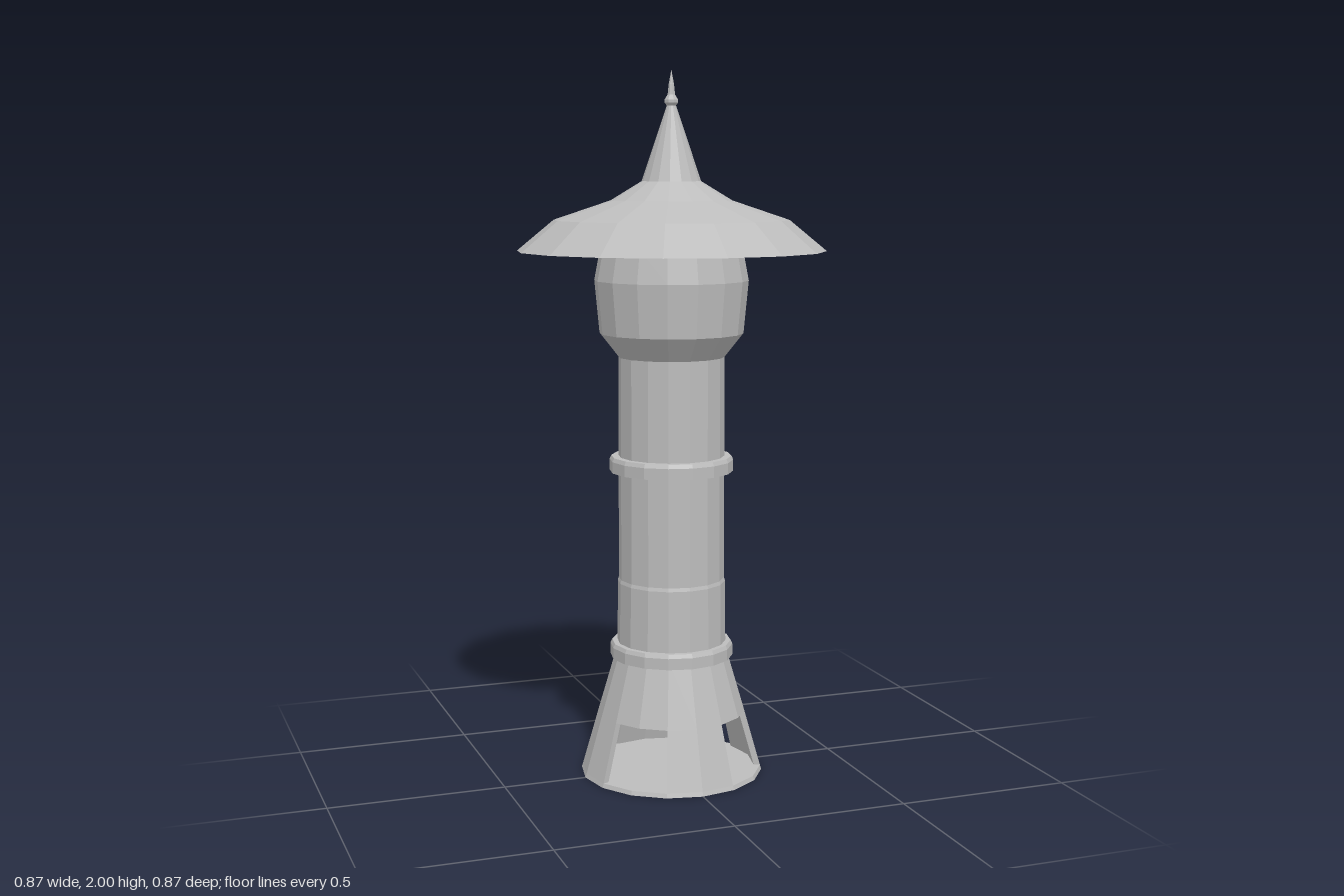
import * as THREE from 'three';

const SIDES = 16;
const stone = new THREE.MeshStandardMaterial({
  name: 'grey stone', color: 0xbcbcbc, flatShading: true, side: THREE.DoubleSide,
});

const toPoints = (pairs) => pairs.map(([r, y]) => new THREE.Vector2(r, y));

function addMesh(parent, name, geometry) {
  const mesh = new THREE.Mesh(geometry, stone);
  mesh.name = name;
  parent.add(mesh);
  return mesh;
}

// Faceted turned part from [radius, height] pairs, listed upwards
function turned(parent, name, pairs, segments = SIDES, start = 0, sweep = Math.PI * 2) {
  return addMesh(parent, name, new THREE.LatheGeometry(toPoints(pairs), segments, start, sweep));
}

// One wall pier between two openings, closed at both ends
function addPier(parent, angle) {
  const pier = new THREE.Group();
  pier.name = 'basePier';
  const half = Math.PI / 8;
  const section = [[0.24, 0.012], [0.258, 0.012], [0.211, 0.178], [0.193, 0.178]];
  turned(pier, 'pierWall', [...section, section[0]], 2, angle - half, half * 2);
  for (const phi of [angle - half, angle + half]) {
    const jamb = addMesh(pier, 'jamb', new THREE.ShapeGeometry(new THREE.Shape(toPoints(section))));
    jamb.rotation.y = phi - Math.PI / 2;
  }
  parent.add(pier);
}

export function createModel() {
  const tower = new THREE.Group();
  tower.name = 'tower';

  // Flared base: floor plate, four piers, and the solid skirt above the openings
  turned(tower, 'floorPlate', [[0, 0], [0.262, 0], [0.258, 0.012], [0, 0.012]]);
  for (let i = 0; i < 4; i++) addPier(tower, i * Math.PI / 2);
  turned(tower, 'baseSkirt', [[0.193, 0.178], [0.211, 0.178], [0.158, 0.36], [0.14, 0.36], [0.193, 0.178]]);

  // Shaft with two bands
  turned(tower, 'shaft', [[0.156, 0.35], [0.154, 0.56], [0.151, 0.57], [0.15, 1.21]]);
  for (const y of [0.342, 0.88]) {
    turned(tower, 'band', [[0.15, y], [0.176, y], [0.176, y + 0.032], [0.171, y + 0.043], [0.15, y + 0.043]]);
  }

  // Swelling head under the roof
  turned(tower, 'head', [[0.15, 1.205], [0.203, 1.272], [0.217, 1.42], [0.2, 1.51], [0.17, 1.61]]);

  // Wide hat-shaped roof
  turned(tower, 'roof', [[0.434, 1.502], [0.33, 1.588], [0.17, 1.642], [0.083, 1.695]]);

  // Spire and finial
  turned(tower, 'spire', [[0.083, 1.695], [0.012, 1.905]]);
  turned(tower, 'finial', [[0.012, 1.9], [0.02, 1.91], [0.02, 1.918], [0.011, 1.932], [0.008, 1.96], [0, 2]], 8);

  return tower;
}
